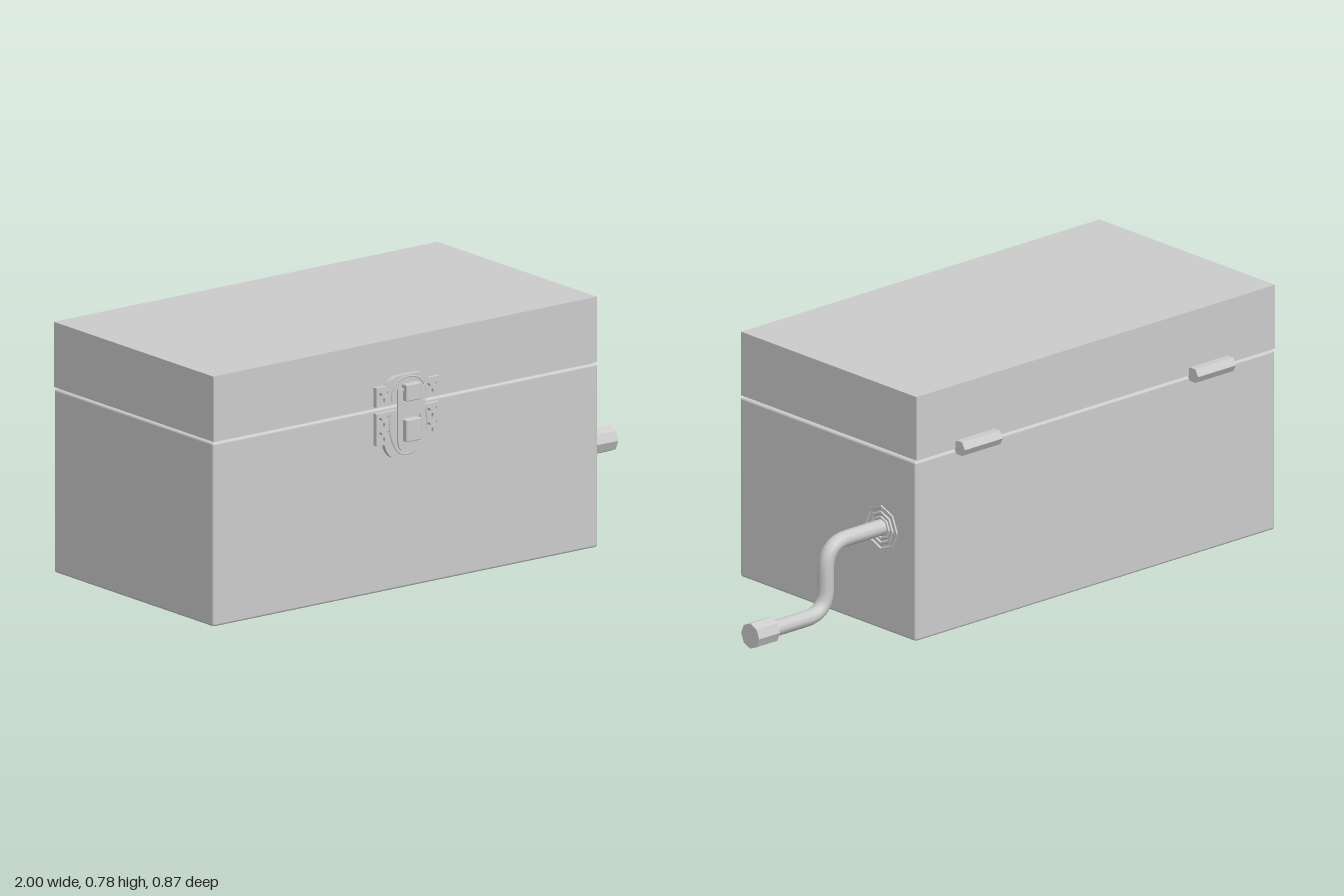
import * as THREE from 'three';
import { RoundedBoxGeometry } from 'three/addons/geometries/RoundedBoxGeometry.js';

const smooth = new THREE.MeshStandardMaterial({ color: 0xcccccc });
const flat = new THREE.MeshStandardMaterial({ color: 0xcccccc, flatShading: true });
const V = (x, y, z) => new THREE.Vector3(x, y, z);

export function createModel() {
  const model = new THREE.Group();
  model.name = 'crankBox';

  function add(parent, name, geometry, x = 0, y = 0, z = 0, material = flat) {
    const mesh = new THREE.Mesh(geometry, material);
    mesh.name = name;
    mesh.position.set(x, y, z);
    parent.add(mesh);
    return mesh;
  }

  // Box body with softened edges, and a sharp-edged lid above a narrow gap
  add(model, 'body', new RoundedBoxGeometry(1.464, 0.573, 0.78, 2, 0.008), -0.268, 0.2865, -0.005, smooth);
  add(model, 'lid', new THREE.BoxGeometry(1.46, 0.203, 0.78), -0.27, 0.6795, -0.005);
  add(model, 'innerLip', new THREE.BoxGeometry(1.44, 0.03, 0.76), -0.27, 0.575, -0.005);

  // Two hexagonal hinge barrels along the back
  for (const x of [-0.727, 0.223]) {
    const barrel = new THREE.CylinderGeometry(0.025, 0.025, 0.155, 6).rotateZ(Math.PI / 2);
    add(model, 'hinge', barrel, x, 0.583, -0.411);
  }

  // Crank: stepped octagonal collar, bent rod and grip
  const crank = new THREE.Group();
  crank.name = 'crank';
  crank.position.set(0, 0.325, -0.245);
  model.add(crank);

  const collarProfile = [
    [0.072, 0], [0.072, 0.007], [0.065, 0.007], [0.062, 0.002], [0.054, 0.002],
    [0.052, 0.007], [0.046, 0.007], [0.043, 0.002], [0.038, 0.002],
    [0.036, 0.007], [0.031, 0.007], [0.029, 0.002], [0, 0.002],
  ].map(([r, h]) => new THREE.Vector2(r, h));
  add(crank, 'collar', new THREE.LatheGeometry(collarProfile, 8).rotateZ(-Math.PI / 2), 0.463);

  const path = new THREE.CurvePath();
  const line = (a, b) => path.add(new THREE.LineCurve3(a, b));
  const bend = (a, b, c) => path.add(new THREE.QuadraticBezierCurve3(a, b, c));
  const a = V(0.61, 0.002, 0), b = V(0.692, -0.08, 0);
  const c = V(0.692, -0.135, 0), d = V(0.77, -0.215, 0);
  line(V(0.45, 0.002, 0), a);
  bend(a, V(0.692, 0.002, 0), b);
  line(b, c);
  bend(c, V(0.692, -0.215, 0), d);
  line(d, V(0.93, -0.215, 0));
  add(crank, 'rod', new THREE.TubeGeometry(path, 36, 0.025, 10), 0, 0, 0, smooth);
  const grip = new THREE.CylinderGeometry(0.04, 0.04, 0.085, 8).rotateZ(Math.PI / 2);
  add(crank, 'grip', grip, 0.9575, -0.215);

  // Front latch
  const latch = new THREE.Group();
  latch.name = 'latch';
  latch.position.set(-0.27, 0, 0.385);
  model.add(latch);

  const extrude = (shape, depth) =>
    new THREE.ExtrudeGeometry(shape, { depth, bevelEnabled: false, curveSegments: 6 });

  // Plate with side wings and a rounded bulge; each wing has leaf-shaped piercings
  function plate(name, near, wing, far, bulge, holeRows) {
    const s = new THREE.Shape();
    s.moveTo(-0.12, near);
    s.lineTo(-0.12, wing);
    s.lineTo(-bulge, wing);
    s.quadraticCurveTo(-bulge * 0.85, far, -bulge * 0.35, far);
    s.lineTo(bulge * 0.35, far);
    s.quadraticCurveTo(bulge * 0.85, far, bulge, wing);
    s.lineTo(0.12, wing);
    s.lineTo(0.12, near);
    for (const side of [-1, 1]) for (const y of holeRows) {
      for (const [dx, dy, tilt] of [[-0.012, 0.008, 0.7], [0.012, 0.008, -0.7], [0, -0.012, 0]]) {
        const hole = new THREE.Path();
        hole.absellipse(side * 0.092 + dx, y + dy, 0.004, 0.008, 0, Math.PI * 2, false, tilt);
        s.holes.push(hole);
      }
    }
    add(latch, name, extrude(s, 0.015));
  }
  plate('upperPlate', 0.582, 0.643, 0.668, 0.08, [0.612]);
  plate('lowerPlate', 0.562, 0.462, 0.41, 0.09, [0.535, 0.49]);

  // Raised rims framing the bulges
  for (const [y0, y1, w] of [[0.592, 0.656, 0.062], [0.552, 0.428, 0.068]]) {
    const rim = new THREE.CatmullRomCurve3([
      V(-w, y0, 0.015), V(-w, (y0 + y1) / 2, 0.015), V(-w * 0.5, y1, 0.015),
      V(w * 0.5, y1, 0.015), V(w, (y0 + y1) / 2, 0.015), V(w, y0, 0.015),
    ]);
    add(latch, 'plateRim', new THREE.TubeGeometry(rim, 20, 0.003, 5), 0, 0, 0, smooth);
  }

  // Swinging hasp with slots for the two posts
  const hasp = new THREE.Shape();
  hasp.moveTo(-0.052, 0.632);
  hasp.lineTo(-0.052, 0.47);
  hasp.quadraticCurveTo(-0.052, 0.43, 0, 0.428);
  hasp.quadraticCurveTo(0.052, 0.43, 0.052, 0.47);
  hasp.lineTo(0.052, 0.632);
  for (const [y0, y1] of [[0.462, 0.542], [0.59, 0.624]]) {
    const slot = new THREE.Path();
    slot.moveTo(-0.033, y0);
    slot.lineTo(0.033, y0);
    slot.lineTo(0.033, y1);
    slot.lineTo(-0.033, y1);
    slot.closePath();
    hasp.holes.push(slot);
  }
  add(latch, 'hasp', extrude(hasp, 0.005), 0, 0, 0.028);

  // Hinge post above and locking post below, each on a narrower stem
  for (const [name, y, h] of [['upperPost', 0.618, 0.053], ['lowerPost', 0.5, 0.07]]) {
    add(latch, name + 'Stem', new THREE.BoxGeometry(0.036, h * 0.65, 0.03), 0, y, 0.015);
    add(latch, name, new RoundedBoxGeometry(0.058, h, 0.026, 1, 0.004), 0, y, 0.032, smooth);
  }

  return model;
}
